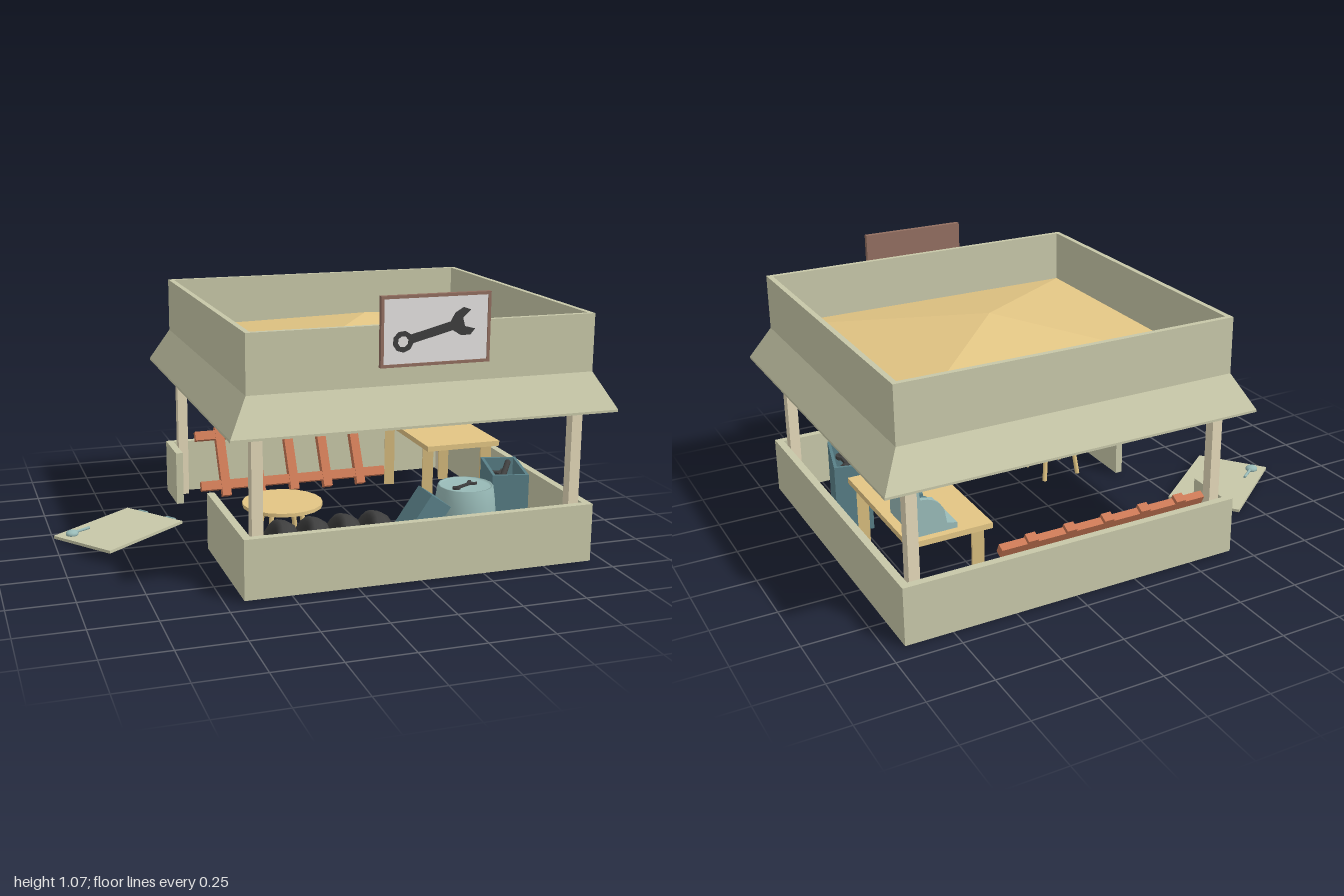
import * as THREE from 'three';

const mat = (name, color) => Object.assign(new THREE.MeshStandardMaterial({ color }), { name });
const olive = mat('olive paint', 0xc7c7a8), tan = mat('tan wood', 0xe2c584), pale = mat('pale post wood', 0xe3d8b8);
const rust = mat('rust red', 0xca7855), teal = mat('light teal', 0x98bab7), slate = mat('dark teal', 0x598088);
const dark = mat('black rubber', 0x3f3f3f), brown = mat('brown frame', 0x926e60), grey = mat('light grey', 0xe5e3e1);

function add(parent, name, geo, material, x = 0, y = 0, z = 0) {
  const m = new THREE.Mesh(geo, material);
  m.name = name;
  m.position.set(x, y, z);
  parent.add(m);
  return m;
}
// Box given by its limits
const span = (p, name, m, x0, x1, y0, y1, z0, z1) =>
  add(p, name, new THREE.BoxGeometry(x1 - x0, y1 - y0, z1 - z0), m, (x0 + x1) / 2, (y0 + y1) / 2, (z0 + z1) / 2);
function group(parent, name, x = 0, y = 0, z = 0) {
  const g = new THREE.Group();
  g.name = name;
  g.position.set(x, y, z);
  parent.add(g);
  return g;
}
// Cylinder between two points
function rod(p, name, m, a, b, r, sides = 8) {
  const A = new THREE.Vector3(...a), B = new THREE.Vector3(...b), d = B.clone().sub(A);
  const mesh = add(p, name, new THREE.CylinderGeometry(r, r, d.length(), sides), m);
  mesh.position.copy(A).add(B).multiplyScalar(0.5);
  mesh.quaternion.setFromUnitVectors(new THREE.Vector3(0, 1, 0), d.normalize());
  return mesh;
}
const points = list => list.map(p => new THREE.Vector2(...p));
const plate = (list, depth) =>
  new THREE.ExtrudeGeometry(new THREE.Shape(points(list)), { depth, bevelEnabled: false });
// Rectangular shell swept from a half-width / height profile
function squareLathe(profile, zRatio) {
  const pts = profile.map(([r, y]) => new THREE.Vector2(r * Math.SQRT2, y));
  const g = new THREE.LatheGeometry(pts, 4).rotateY(Math.PI / 4).scale(1, 1, zRatio).toNonIndexed();
  g.computeVertexNormals();
  return g;
}
// Spanner with a ring at the origin and an open jaw toward +x
function wrenchGeometry(depth) {
  const outline = [];
  for (let i = 0; i <= 8; i++) {
    const a = 0.42 + (i / 8) * (2 * Math.PI - 0.84);
    outline.push([0.039 * Math.cos(a), 0.039 * Math.sin(a)]);
  }
  outline.push([0.19, -0.016], [0.215, -0.042], [0.25, -0.052], [0.274, -0.036], [0.238, -0.016],
    [0.238, 0.016], [0.274, 0.036], [0.25, 0.052], [0.215, 0.042], [0.19, 0.016]);
  const s = new THREE.Shape(points(outline));
  const hole = new THREE.Path();
  hole.absarc(0, 0, 0.021, 0, Math.PI * 2, true);
  s.holes.push(hole);
  return new THREE.ExtrudeGeometry(s, { depth, bevelEnabled: false, curveSegments: 4 });
}

export function createModel() {
  const root = new THREE.Group();
  root.name = 'repairStall';
  const cx = 0.2565, Y0 = 0.012;

  // Low walls, with a door gap on one side
  const walls = group(root, 'walls');
  const X0 = -0.432, X1 = 0.938, Z = 0.684, T = 0.03, Y1 = 0.24;
  span(walls, 'frontWall', olive, X0, X1, Y0, Y1, Z - T, Z);
  span(walls, 'backWall', olive, X0, X1, Y0, Y1, -Z, -Z + T);
  span(walls, 'leftWall', olive, X1 - T, X1, Y0, Y1, -Z + T, Z - T);
  span(walls, 'rightWallFront', olive, X0, X0 + T, Y0, Y1, 0.115, Z - T);
  span(walls, 'rightWallBack', olive, X0, X0 + T, Y0, Y1, -Z + T, -0.47);

  // Corner posts
  for (const x of [-0.371, 0.876]) for (const z of [-0.622, 0.622])
    span(root, 'post', pale, x - 0.021, x + 0.021, Y0, 0.612, z - 0.022, z + 0.022);

  // Skirt, parapet and shallow pyramid roof
  add(root, 'roofSkirtAndParapet', squareLathe([[0, 0.606], [0.743, 0.606], [0.743, 0.615], [0.668, 0.75],
    [0.668, 0.97], [0.647, 0.97], [0.647, 0.75]], 0.974), olive, cx);
  add(root, 'roof', squareLathe([[0.647, 0.764], [0, 0.9]], 0.974), tan, cx);

  // Sign with a spanner
  const sign = group(root, 'sign', 0.284, 0.947, 0.65);
  span(sign, 'signBack', brown, -0.209, 0.209, -0.128, 0.128, 0, 0.014);
  span(sign, 'signPanel', grey, -0.198, 0.198, -0.117, 0.117, 0.014, 0.016);
  for (const s of [-1, 1]) {
    add(sign, 'signRim', new THREE.BoxGeometry(0.418, 0.011, 0.01), brown, 0, s * 0.1225, 0.015);
    add(sign, 'signRim', new THREE.BoxGeometry(0.011, 0.234, 0.01), brown, s * 0.2035, 0, 0.015);
  }
  add(sign, 'signSpanner', wrenchGeometry(0.004), dark, -0.125, -0.037, 0.016).rotation.z = 0.25;

  // Fallen door outside the gap
  const door = group(root, 'fallenDoor', -0.7325, 0, -0.19);
  door.rotation.y = 0.662;
  add(door, 'doorPanel', new THREE.BoxGeometry(0.4375, 0.012, 0.305), olive, 0, 0.0185, 0);
  for (const z of [-0.076, 0.077]) {
    add(door, 'hingePlate', new THREE.BoxGeometry(0.03, 0.018, 0.036), slate, 0.219, 0.014, z);
    rod(door, 'hingePin', teal, [0.232, 0.014, z - 0.022], [0.232, 0.014, z + 0.022], 0.01);
  }
  const knob = add(door, 'doorKnob', new THREE.SphereGeometry(0.026, 12, 8), teal, -0.168, 0.03, -0.1);
  knob.scale.y = 0.6;
  rod(door, 'doorLever', teal, [-0.168, 0.032, -0.1], [-0.075, 0.03, -0.095], 0.006);

  // Work table on slightly twisted legs
  const table = group(root, 'workTable');
  span(table, 'tableTop', tan, 0.53, 0.855, 0.303, 0.325, -0.554, 0.033);
  for (const x of [0.56, 0.826]) for (const z of [-0.038, -0.487])
    add(table, 'tableLeg', new THREE.BoxGeometry(0.044, 0.291, 0.044), tan, x, 0.1575, z).rotation.y = -0.35;

  // Cash register: two curved cheeks around a recessed key bed
  const register = group(root, 'cashRegister');
  const cheek = plate([[0.655, 0.325], [0.82, 0.325], [0.82, 0.515], [0.8, 0.51], [0.793, 0.466],
    [0.765, 0.462], [0.742, 0.453], [0.72, 0.435], [0.704, 0.41], [0.695, 0.355], [0.655, 0.345]], 0.02);
  add(register, 'registerCheek', cheek, teal, 0, 0, -0.525);
  add(register, 'registerCheek', cheek, teal, 0, 0, -0.325);
  const core = plate([[0.655, 0.325], [0.82, 0.325], [0.82, 0.515], [0.8, 0.51], [0.788, 0.45],
    [0.72, 0.395], [0.71, 0.355], [0.655, 0.345]], 0.18);
  add(register, 'registerCore', core, teal, 0, 0, -0.505);
  for (let r = 0; r < 2; r++) for (let i = 0; i < 4; i++)
    add(register, 'registerKey', new THREE.BoxGeometry(0.016, 0.018, 0.022), slate,
      0.74 + r * 0.026, 0.415 + r * 0.021, -0.477 + i * 0.041);
  rod(register, 'crankAxle', teal, [0.765, 0.42, -0.305], [0.765, 0.42, -0.285], 0.008);
  rod(register, 'crankArm', teal, [0.765, 0.422, -0.288], [0.79, 0.388, -0.288], 0.006);
  rod(register, 'crankHandle', dark, [0.79, 0.39, -0.29], [0.79, 0.39, -0.255], 0.007);

  // Round table
  const round = group(root, 'roundTable', -0.172, 0, 0.277);
  add(round, 'roundTop', new THREE.CylinderGeometry(0.155, 0.155, 0.014, 20), tan, 0, 0.225, 0);
  for (let i = 0; i < 4; i++) {
    const a = Math.PI / 4 + i * Math.PI / 2, c = Math.cos(a), s = Math.sin(a);
    rod(round, 'roundTableLeg', tan, [0.08 * c, 0.22, 0.08 * s], [0.115 * c, 0.014, 0.115 * s], 0.01);
  }

  // Leaning row of tyres
  for (let i = 0; i < 4; i++) {
    const tyre = group(root, 'tyre', -0.265 + i * 0.122, 0.122, 0.51);
    tyre.rotation.z = -0.4;
    const ring = new THREE.LatheGeometry(points([[0.068, -0.028], [0.092, -0.04], [0.112, -0.03], [0.117, 0],
      [0.112, 0.03], [0.092, 0.04], [0.068, 0.028], [0.068, -0.028]]), 20);
    add(tyre, 'tyreRing', ring.rotateZ(Math.PI / 2), dark);
  }

  // Fuel can leaning on the barrel
  add(root, 'fuelCan', new THREE.BoxGeometry(0.095, 0.28, 0.13), slate, 0.275, 0.163, 0.525).rotation.z = -0.608;

  // Barrel with a spanner on its lid
  const barrel = group(root, 'barrel', 0.495, 0, 0.492);
  add(barrel, 'barrelBody', new THREE.LatheGeometry(points([[0, 0.012], [0.098, 0.012], [0.11, 0.06], [0.12, 0.15],
    [0.115, 0.24], [0.106, 0.302], [0.099, 0.302], [0.097, 0.295], [0, 0.295]]), 16), teal);
  const lidTool = add(barrel, 'lidSpanner', wrenchGeometry(0.02), dark, -0.05, 0.297, 0.03);
  lidTool.rotation.set(-Math.PI / 2, 0, 0.5);
  lidTool.scale.setScalar(0.4);

  // Open crate of tools
  const crate = group(root, 'toolCrate', 0.752, 0, 0.298);
  crate.rotation.y = -0.247;
  span(crate, 'crateBase', slate, -0.072, 0.072, Y0, 0.025, -0.129, 0.129);
  for (const s of [-1, 1]) {
    add(crate, 'crateSide', new THREE.BoxGeometry(0.012, 0.285, 0.258), slate, s * 0.066, 0.1555, 0);
    add(crate, 'crateEnd', new THREE.BoxGeometry(0.12, 0.285, 0.012), slate, 0, 0.1555, s * 0.123);
  }
  const tool = add(crate, 'crateSpanner', wrenchGeometry(0.02), dark, 0.02, 0.24, 0.08);
  tool.rotation.set(-Math.PI / 2, 0, 1.75);
  tool.scale.setScalar(0.7);
  rod(crate, 'crateBar', dark, [-0.045, 0.22, 0.1], [0.035, 0.285, -0.1], 0.012);

  // Ladder on its side, leaning on the back wall
  const ladder = group(root, 'ladder', 0.12, 0.01, -0.51);
  ladder.rotation.x = -0.49;
  for (const y of [0.055, 0.283])
    add(ladder, 'ladderRail', new THREE.BoxGeometry(0.86, 0.04, 0.03), rust, 0, y, 0);
  for (let i = -2; i <= 2; i++)
    add(ladder, 'ladderRung', new THREE.BoxGeometry(0.04, 0.315, 0.036), rust, i * 0.157 - 0.005, 0.162, 0);

  return root;
}
